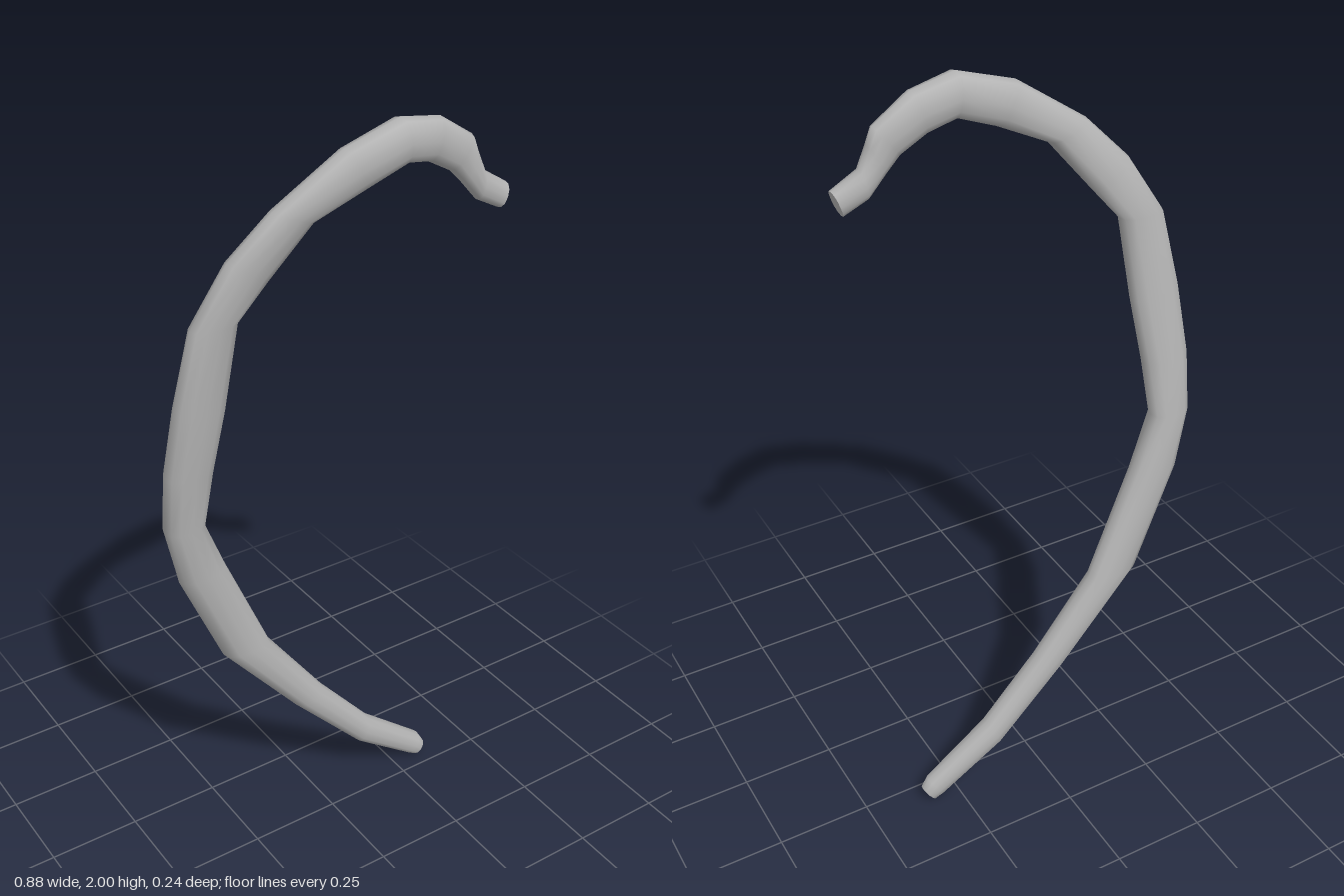
import * as THREE from 'three';

// Stations from head to tip: outer x, y, inner x, y, centre z, half depth in z
const STATIONS = [
  [0.435, 1.79, 0.415, 1.73, 0.073, 0.026],
  [0.37, 1.83, 0.355, 1.76, 0.067, 0.027],
  [0.35, 1.88, 0.31, 1.81, 0.065, 0.027],
  [0.335, 1.92, 0.275, 1.845, 0.065, 0.028],
  [0.24, 1.98, 0.21, 1.88, 0.068, 0.036],
  [0.125, 2.0, 0.135, 1.895, 0.078, 0.042],
  [-0.02, 1.955, 0.03, 1.855, 0.073, 0.038],
  [-0.19, 1.84, -0.09, 1.8, 0.05, 0.035],
  [-0.29, 1.735, -0.19, 1.675, 0.02, 0.034],
  [-0.38, 1.59, -0.26, 1.59, 0.003, 0.034],
  [-0.42, 1.395, -0.29, 1.37, -0.018, 0.037],
  [-0.44, 1.21, -0.315, 1.2, -0.045, 0.039],
  [-0.44, 1.05, -0.335, 1.05, -0.063, 0.04],
  [-0.405, 0.89, -0.275, 0.9, -0.073, 0.039],
  [-0.285, 0.61, -0.15, 0.61, -0.083, 0.038],
  [-0.07, 0.35, 0.01, 0.39, -0.075, 0.037],
  [0.125, 0.14, 0.16, 0.215, -0.067, 0.035],
  [0.295, 0.02, 0.335, 0.075, -0.056, 0.03],
  [0.32, 0.005, 0.352, 0.045, -0.054, 0.024],
];
const SIDES = 12;

// Slightly squared oval around one station
function ring([ox, oy, ix, iy, z, depth]) {
  const points = [];
  const soft = (v) => Math.sign(v) * Math.pow(Math.abs(v), 0.88);
  for (let i = 0; i < SIDES; i++) {
    const a = (i / SIDES) * Math.PI * 2;
    const u = soft(Math.cos(a)) / 2;
    points.push([
      (ox + ix) / 2 + (ox - ix) * u,
      (oy + iy) / 2 + (oy - iy) * u,
      z + depth * soft(Math.sin(a)),
    ]);
  }
  return points;
}

function build(points, index) {
  const geometry = new THREE.BufferGeometry();
  geometry.setAttribute('position', new THREE.Float32BufferAttribute(points.flat(), 3));
  geometry.setIndex(index);
  geometry.computeVertexNormals();
  return geometry;
}

// Smooth skin through all the rings
function shaftGeometry() {
  const index = [];
  for (let j = 0; j < STATIONS.length - 1; j++) {
    for (let i = 0; i < SIDES; i++) {
      const a = j * SIDES + i;
      const b = j * SIDES + ((i + 1) % SIDES);
      index.push(a, a + SIDES, b, b, a + SIDES, b + SIDES);
    }
  }
  return build(STATIONS.flatMap(ring), index);
}

// Flat face closing one end
function capGeometry(station, flip) {
  const index = [];
  for (let i = 1; i < SIDES - 1; i++) index.push(...(flip ? [0, i + 1, i] : [0, i, i + 1]));
  return build(ring(station), index);
}

export function createModel() {
  const bone = new THREE.MeshStandardMaterial({ color: 0xb4b4b4 });
  bone.name = 'boneGrey';
  const group = new THREE.Group();
  group.name = 'ribBone';
  const add = (name, geometry) => {
    const mesh = new THREE.Mesh(geometry, bone);
    mesh.name = name;
    group.add(mesh);
  };
  add('ribShaft', shaftGeometry());
  add('ribHeadEnd', capGeometry(STATIONS[0], false));
  add('ribTipEnd', capGeometry(STATIONS[STATIONS.length - 1], true));
  return group;
}
